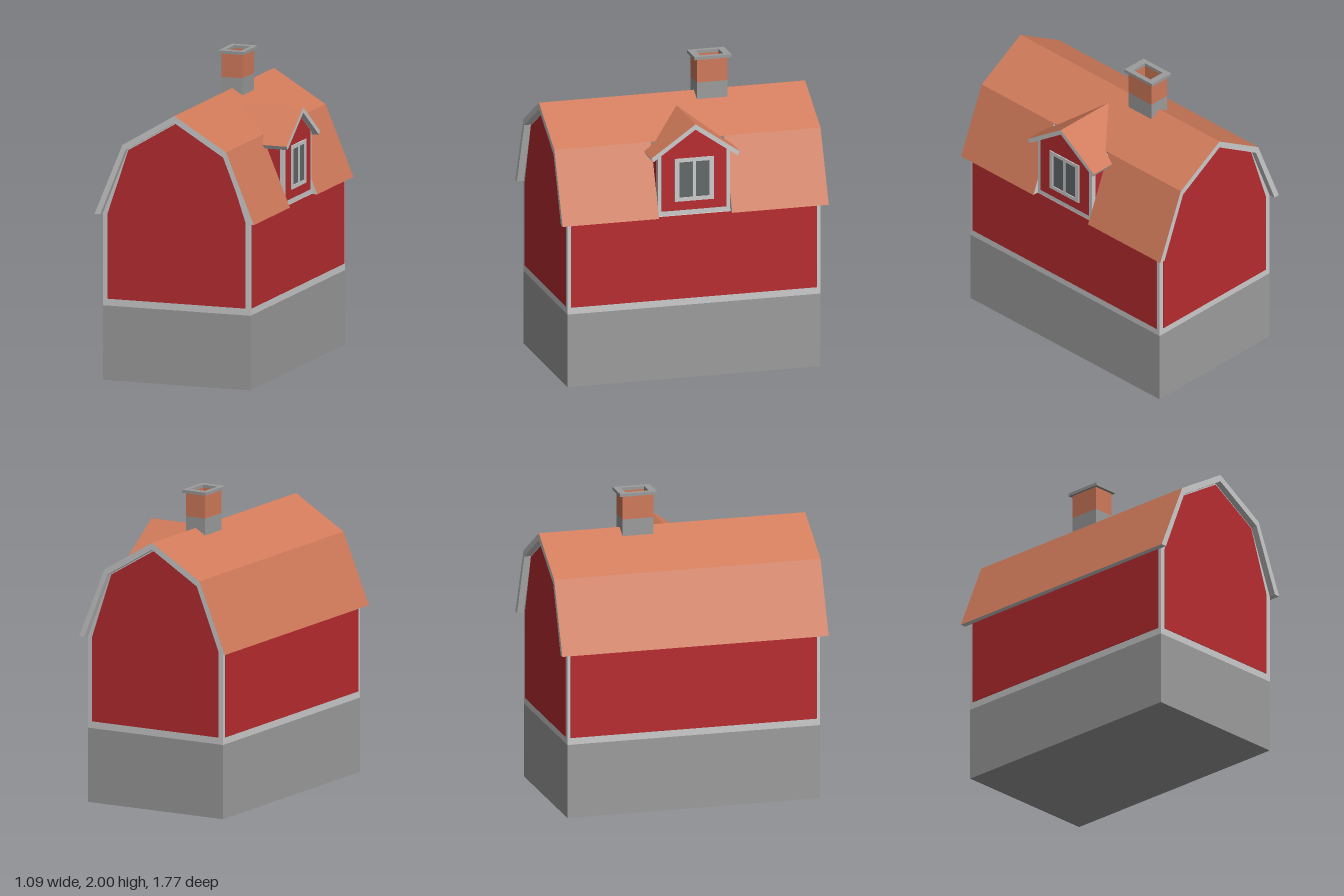
import * as THREE from 'three';

const mat = (color) => new THREE.MeshStandardMaterial({ color, flatShading: true });

export function createModel() {
  const house = new THREE.Group();
  house.name = 'gambrelHouse';
  const stone = mat(0x9c9c9c), trim = mat(0xcccccc), red = mat(0xb82c30);
  const tile = mat(0xd07a5a), glass = mat(0x62686a);

  function add(name, geometry, material, parent = house) {
    const mesh = new THREE.Mesh(geometry, material);
    mesh.name = name;
    parent.add(mesh);
    return mesh;
  }
  const shapeOf = (pts) => new THREE.Shape(pts.map(([x, y]) => new THREE.Vector2(x, y)));
  const rect = (w, h, cx = 0, cy = 0) => [
    [cx - w / 2, cy - h / 2], [cx + w / 2, cy - h / 2], [cx + w / 2, cy + h / 2], [cx - w / 2, cy + h / 2]];
  // Symmetric outline from its right half, listed bottom to top with the apex last
  const mirrored = (half) => [...half, ...half.slice(0, -1).reverse().map(([x, y]) => [-x, y])];
  // Flat board extruded along z, with optional holes
  function board(pts, depth, holes = []) {
    const shape = shapeOf(pts);
    holes.forEach((h) => shape.holes.push(shapeOf(h)));
    return new THREE.ExtrudeGeometry(shape, { depth, bevelEnabled: false });
  }

  // Roof slab: tiled top outline, trim-coloured underside and edges
  function roofSlab(name, top, bottom) {
    const v = top.map((p) => new THREE.Vector3(...p));
    const w = bottom.map((p) => new THREE.Vector3(...p));
    const n = v.length;
    const normal = v[1].clone().sub(v[0]).cross(v[2].clone().sub(v[0]));
    if (normal.y < 0) { v.reverse(); w.reverse(); v.unshift(v.pop()); w.unshift(w.pop()); }
    const tris = [];
    for (let i = 1; i < n - 1; i++) tris.push(v[0], v[i], v[i + 1]);
    const topCount = tris.length;
    for (let i = 1; i < n - 1; i++) tris.push(w[0], w[i + 1], w[i]);
    for (let i = 0; i < n; i++) {
      const j = (i + 1) % n;
      tris.push(w[i], w[j], v[j], w[i], v[j], v[i]);
    }
    const g = new THREE.BufferGeometry().setFromPoints(tris);
    g.addGroup(0, topCount, 0);
    g.addGroup(topCount, tris.length - topCount, 1);
    g.computeVertexNormals();
    return add(name, g, [tile, trim]);
  }

  // Foundation and main body
  add('foundation', new THREE.BoxGeometry(1.01, 0.485, 1.68).translate(0, 0.2425, 0), stone);
  const bodyOutline = mirrored([[0.505, 0.485], [0.505, 1.085], [0.335, 1.51], [0, 1.712]]);
  add('wallTrim', board(bodyOutline, 1.68).translate(0, 0, -0.84), trim);

  // Red wall panels
  const gable = mirrored([[0.472, 0.53], [0.472, 1.085], [0.33, 1.505], [0, 1.702]]);
  for (const s of [1, -1]) {
    const turn = s > 0 ? 0 : Math.PI;
    add(s > 0 ? 'frontGablePanel' : 'backGablePanel',
      board(gable, 0.003).translate(0, 0, 0.84).rotateY(turn), red);
    add(s > 0 ? 'leftWallPanel' : 'rightWallPanel',
      board(rect(1.636, 0.555, 0, 0.8075), 0.003).translate(0, 0, 0.505).rotateY(s * Math.PI / 2), red);
  }

  // Gambrel roof; the lower slope on +x is split around the dormer
  const outer = [[0, 1.757], [0.355, 1.545], [0.545, 1.085]];
  const inner = [[0, 1.712], [0.335, 1.51], [0.505, 1.085]];
  function slope(name, s, k, z0, z1) {
    const quad = (line) => [
      [s * line[k][0], line[k][1], z0], [s * line[k][0], line[k][1], z1],
      [s * line[k + 1][0], line[k + 1][1], z1], [s * line[k + 1][0], line[k + 1][1], z0]];
    roofSlab(name, quad(outer), quad(inner));
  }
  slope('leftUpperRoof', 1, 0, -0.885, 0.885);
  slope('rightUpperRoof', -1, 0, -0.885, 0.885);
  slope('rightLowerRoof', -1, 1, -0.885, 0.885);
  slope('leftLowerRoofFront', 1, 1, 0.243, 0.885);
  slope('leftLowerRoofBack', 1, 1, -0.885, -0.243);

  // Dormer walls, extruded along x
  const alongX = (g, x) => g.rotateY(Math.PI / 2).translate(x, 0, 0);
  const dormerOutline = mirrored([[0.24, 1.088], [0.24, 1.493], [0, 1.66]]);
  add('dormerTrim', alongX(board(dormerOutline, 0.305), 0.2), trim);
  const dormerFace = mirrored([[0.215, 1.12], [0.215, 1.505], [0, 1.655]]);
  add('dormerFrontPanel', alongX(board(dormerFace, 0.003), 0.505), red);
  for (const s of [1, -1]) {
    add('dormerSidePanel', board(rect(0.115, 0.37, 0.4175, 1.305), 0.003)
      .translate(0, 0, s > 0 ? 0.24 : -0.243), red);
  }

  // Dormer roof, trimmed along the valleys with the main roof
  const plan = [[0.543, 0], [0.095, 0], [0.355, 0.225], [0.378, 0.295], [0.543, 0.295]];
  for (const s of [1, -1]) {
    const height = (z) => 1.695 - 0.695 * z;
    const top = plan.map(([x, z]) => [x, height(z), s * z]);
    const bottom = plan.map(([x, z]) => {
      const inset = z > 0.29 ? 0.28 : z;
      return [x, height(inset) - 0.035, s * inset];
    });
    roofSlab(s > 0 ? 'dormerRoofFront' : 'dormerRoofBack', top, bottom);
  }

  // Dormer window
  const panes = [-1, 1].map((s) => rect(0.09, 0.235, s * 0.055, 1.3225));
  add('windowFrame', alongX(board(rect(0.26, 0.285, 0, 1.3225), 0.01, panes), 0.505), trim);
  panes.forEach((p) => add('windowPane', alongX(board(p, 0.004), 0.505), glass));

  // Hollow chimney straddling the ridge
  const chimney = new THREE.Group();
  chimney.name = 'chimney';
  chimney.position.z = -0.247;
  house.add(chimney);
  const flue = rect(0.11, 0.155);
  const ring = (w, d, y0, y1) => board(rect(w, d), y1 - y0, [flue]).rotateX(-Math.PI / 2).translate(0, y0, 0);
  add('chimneyBase', ring(0.143, 0.204, 1.712, 1.825), stone, chimney);
  add('chimneyStack', ring(0.143, 0.204, 1.825, 1.98), tile, chimney);
  add('chimneyCap', ring(0.175, 0.245, 1.98, 2.0), stone, chimney);

  return house;
}
